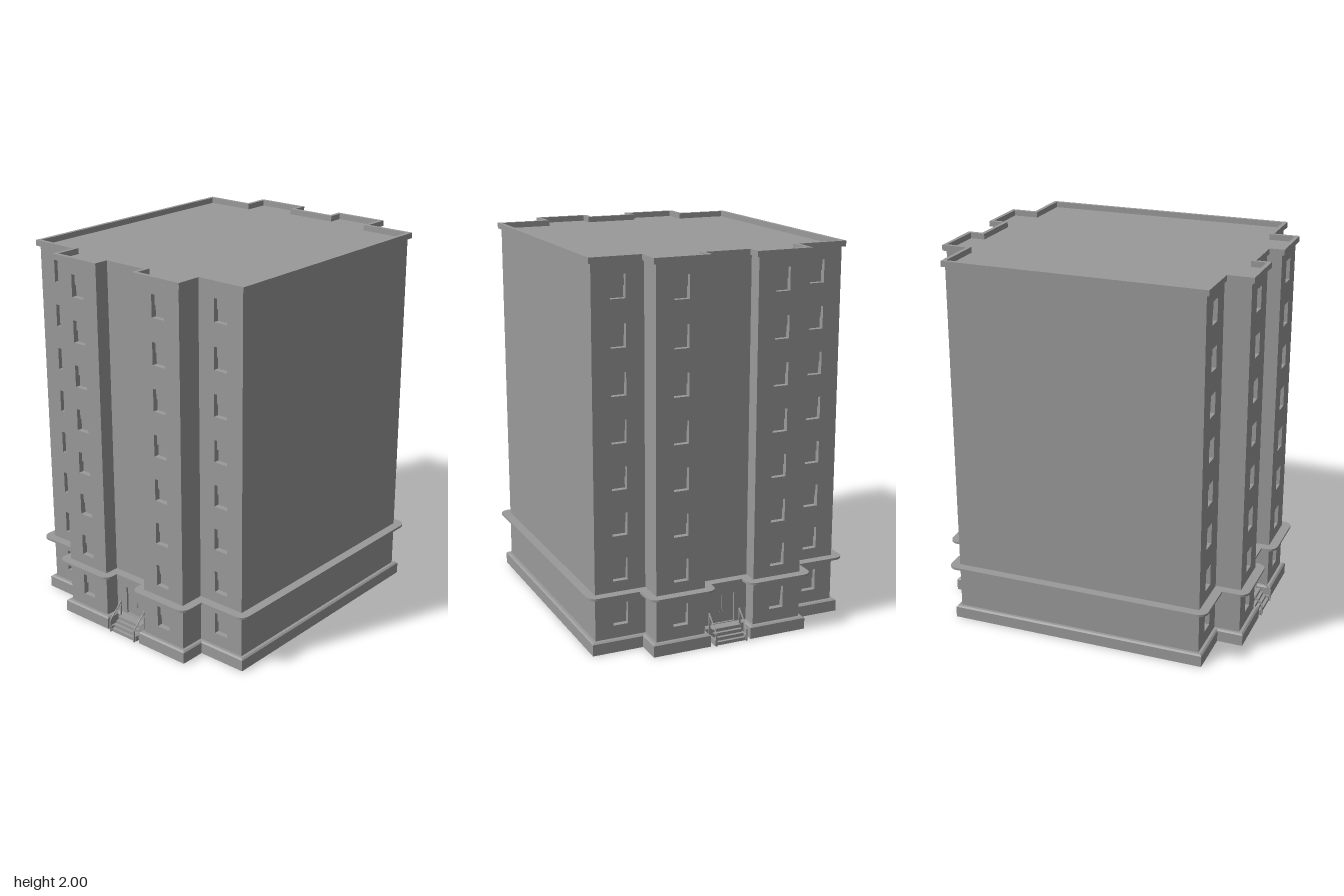
import * as THREE from 'three';
import { mergeGeometries } from 'three/addons/utils/BufferGeometryUtils.js';

const grey = new THREE.MeshStandardMaterial({ color: 0x9a9a9a, flatShading: true, side: THREE.DoubleSide });

const WALL_BOTTOM = 0.066, ROOF_Y = 1.97;
const ROWS = 8, ROW_PITCH = 0.237, FIRST_ROW_Y = 0.193;
const WIN_W = 0.08, WIN_H = 0.117;
const DOOR = { w: 0.138, bottom: 0.07, top: 0.225 };

// Footprint: one quarter (x, z), mirrored into the full stepped outline
const quarter = [[0.137, 0.735], [0.137, 0.814], [0.405, 0.814], [0.405, 0.677], [0.677, 0.677]];
const mirror = (sx, sz) => quarter.map(([x, z]) => [x * sx, z * sz]);
const footprint = [
  ...mirror(1, 1), ...mirror(1, -1).reverse(), ...mirror(-1, -1), ...mirror(-1, 1).reverse(),
].map(([x, z]) => new THREE.Vector2(x, z));
const N = footprint.length;
const edgeDir = (i) => footprint[(i + 1) % N].clone().sub(footprint[i % N]).normalize();
const outward = (d) => new THREE.Vector2(-d.y, d.x);

// Outline pushed outwards by an offset, optionally with rounded outer corners
function outline(offset, rounded) {
  const pts = [];
  footprint.forEach((p, i) => {
    const d1 = edgeDir(i + N - 1), d2 = edgeDir(i);
    const n1 = outward(d1), n2 = outward(d2);
    const convex = d1.cross(d2) < 0;
    const steps = rounded && convex ? 6 : 0;
    for (let k = 0; k <= steps; k++) {
      const t = (k / 6) * Math.PI / 2;
      const a = steps ? Math.cos(t) : 1, b = steps ? Math.sin(t) : 1;
      pts.push(p.clone().addScaledVector(n1, offset * a).addScaledVector(n2, offset * b));
    }
  });
  return pts;
}

// Sweeps a profile of [offset, height] points around the footprint
function band(profile, rounded = false) {
  const rings = profile.map(([offset, y]) => outline(offset, rounded).map((p) => [p.x, y, p.y]));
  const pos = [];
  for (let j = 0; j < rings.length - 1; j++) {
    const lo = rings[j], hi = rings[j + 1];
    for (let i = 0; i < lo.length; i++) {
      const n = (i + 1) % lo.length;
      pos.push(...lo[i], ...lo[n], ...hi[n], ...lo[i], ...hi[n], ...hi[i]);
    }
  }
  const geo = new THREE.BufferGeometry();
  geo.setAttribute('position', new THREE.Float32BufferAttribute(pos, 3));
  geo.computeVertexNormals();
  return geo;
}

function add(parent, name, geo, x = 0, y = 0, z = 0) {
  const mesh = new THREE.Mesh(geo, grey);
  mesh.name = name;
  mesh.position.set(x, y, z);
  parent.add(mesh);
  return mesh;
}

const box = (w, h, d, x = 0, y = 0, z = 0) => new THREE.BoxGeometry(w, h, d).translate(x, y, z);

function rectPath(Type, x0, y0, x1, y1) {
  return new Type([[x0, y0], [x1, y0], [x1, y1], [x0, y1]].map(([x, y]) => new THREE.Vector2(x, y)));
}

// Recessed lining around an opening, behind the wall plane
function lining(w, h, depth) {
  const t = 0.004;
  const shape = rectPath(THREE.Shape, -w / 2 - t, -h / 2 - t, w / 2 + t, h / 2 + t);
  shape.holes.push(rectPath(THREE.Path, -w / 2, -h / 2, w / 2, h / 2));
  return new THREE.ExtrudeGeometry(shape, { depth, bevelEnabled: false }).translate(0, 0, -depth - 0.0005);
}

// Sash window: upper sash forward of the lower one
function windowGeometry() {
  const half = WIN_H / 2;
  return mergeGeometries([
    lining(WIN_W, WIN_H, 0.036),
    box(WIN_W, half, 0.006, 0, half / 2, -0.025).toNonIndexed(),
    box(WIN_W, half, 0.006, 0, -half / 2, -0.033).toNonIndexed(),
  ]);
}
const sashWindow = windowGeometry();

// One flat wall per footprint edge, with its openings cut out
function wallPanel(i) {
  const a = footprint[i], d = edgeDir(i), n = outward(d);
  const length = footprint[(i + 1) % N].distanceTo(a);
  const panel = new THREE.Group();
  panel.name = 'wallPanel';
  panel.applyMatrix4(new THREE.Matrix4().makeBasis(
    new THREE.Vector3(d.x, 0, d.y), new THREE.Vector3(0, 1, 0), new THREE.Vector3(n.x, 0, n.y),
  ).setPosition(a.x, 0, a.y));
  const shape = rectPath(THREE.Shape, 0, WALL_BOTTOM, length, ROOF_Y);
  const isFacade = Math.abs(n.y) > 0.5;
  const isEntrance = isFacade && Math.abs(a.y) < 0.8 && Math.abs(a.y) > 0.7;
  if (isEntrance) {
    shape.holes.push(rectPath(THREE.Path, length / 2 - DOOR.w / 2, DOOR.bottom, length / 2 + DOOR.w / 2, DOOR.top));
  } else if (isFacade) {
    const u = (Math.sign(a.x) * (Math.abs(a.y) > 0.8 ? 0.27 : 0.54) - a.x) * d.x;
    for (let r = 0; r < ROWS; r++) {
      const y = FIRST_ROW_Y + r * ROW_PITCH;
      shape.holes.push(rectPath(THREE.Path, u - WIN_W / 2, y - WIN_H / 2, u + WIN_W / 2, y + WIN_H / 2));
      add(panel, 'window', sashWindow, u, y, 0);
    }
  }
  add(panel, 'wall', new THREE.ShapeGeometry(shape));
  return panel;
}

// Double door, steps and handrails
function entrance() {
  const g = new THREE.Group();
  g.name = 'entrance';
  const wallZ = quarter[0][1], h = DOOR.top - DOOR.bottom, midY = (DOOR.top + DOOR.bottom) / 2;
  add(g, 'doorFrame', lining(DOOR.w, h, 0.02), 0, midY, wallZ);
  for (const s of [-1, 1]) {
    add(g, 'doorLeaf', box(DOOR.w / 2 - 0.001, h, 0.006), s * DOOR.w / 4, midY, wallZ - 0.014);
    add(g, 'doorKnob', new THREE.SphereGeometry(0.003, 8, 6), s * 0.008, 0.13, wallZ - 0.009);
  }
  // Landing and steps, open underneath: a thin tread and riser each
  for (let k = 0; k < 4; k++) {
    const front = 0.79 + k * 0.0165, depth = k ? 0.0165 : 0.04, top = 0.068 - k * 0.017;
    add(g, 'tread', box(0.16, 0.002, depth), 0, top - 0.001, front - depth / 2);
    add(g, 'riser', box(0.16, 0.017, 0.002), 0, top - 0.0085, front - 0.001);
  }
  // Handrails with a short lower post and a taller upper post
  const top = new THREE.Vector3(0, 0.142, 0.765), low = new THREE.Vector3(0, 0.066, 0.846);
  for (const s of [-1, 1]) {
    const rail = new THREE.Group();
    rail.name = 'handrail';
    rail.position.x = s * 0.086;
    add(rail, 'railBar', new THREE.TubeGeometry(new THREE.LineCurve3(top, low), 1, 0.004, 6));
    add(rail, 'upperPost', box(0.007, top.y, 0.007), 0, top.y / 2, top.z);
    add(rail, 'lowerPost', box(0.007, low.y, 0.007), 0, low.y / 2, low.z);
    add(rail, 'postCap', new THREE.SphereGeometry(0.007, 8, 6), 0, top.y, top.z);
    add(rail, 'stringer', box(0.01, 0.03, 0.085), 0, 0.015, 0.7975);
    g.add(rail);
  }
  return g;
}

export function createModel() {
  const model = new THREE.Group();
  model.name = 'apartmentBlock';

  const walls = new THREE.Group();
  walls.name = 'walls';
  for (let i = 0; i < N; i++) walls.add(wallPanel(i));
  model.add(walls);

  // Plinth, rounded string course and parapet
  add(model, 'plinth', band([[0.024, 0], [0.024, 0.06], [0.015, 0.067], [0, 0.067]]));
  add(model, 'stringCourse', band([[0, 0.303], [0.049, 0.303], [0.049, 0.315], [0, 0.315]], true));
  add(model, 'parapet', band([[0, ROOF_Y], [0.016, ROOF_Y], [0.016, 2], [-0.005, 2], [-0.005, ROOF_Y]]));

  const roof = new THREE.Shape(footprint.map((p) => new THREE.Vector2(p.x, -p.y)));
  add(model, 'roof', new THREE.ShapeGeometry(roof).rotateX(-Math.PI / 2), 0, ROOF_Y, 0);

  // The same entrance on front and back
  for (const turn of [0, Math.PI]) {
    const e = entrance();
    e.rotation.y = turn;
    model.add(e);
  }
  return model;
}
